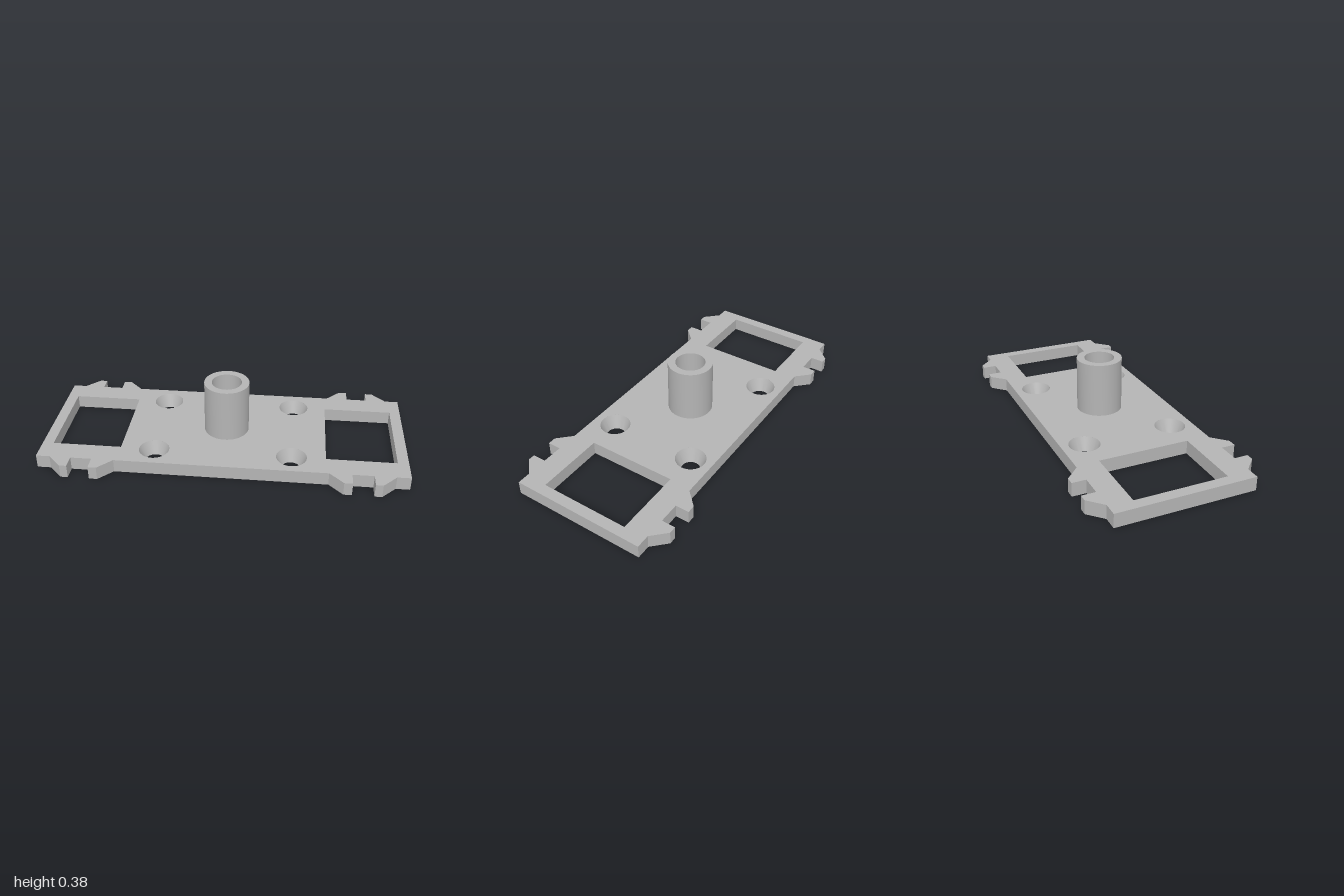
import * as THREE from 'three';
import { toCreasedNormals } from 'three/addons/utils/BufferGeometryUtils.js';

const T = 0.075; // plate thickness
const SEG = 48; // segments per full circle
const BORE = 0.083; // radius of the centre bore and the countersink rims
const CREASE = 0.5;

export function createModel() {
  const model = new THREE.Group();
  const grey = new THREE.MeshStandardMaterial({ color: 0xb4b4b4 });
  grey.name = 'plain grey';

  const add = (name, geometry) => {
    const mesh = new THREE.Mesh(toCreasedNormals(geometry, CREASE), grey);
    mesh.name = name;
    model.add(mesh);
    return mesh;
  };
  const lathe = (profile) =>
    new THREE.LatheGeometry(profile.map(([r, y]) => new THREE.Vector2(r, y)), SEG);

  // One quarter of the outline: two chamfered clip tabs on the long edge
  const quarter = [
    [1, 0.375], [0.925, 0.375], [0.85, 0.45], [0.81, 0.45], [0.81, 0.375],
    [0.695, 0.375], [0.695, 0.45], [0.65, 0.45], [0.575, 0.375],
  ];
  const mirror = (pts, sx, sy) => pts.map(([x, y]) => [x * sx, y * sy]);
  const outline = [
    ...quarter,
    ...mirror(quarter, -1, 1).reverse(),
    ...mirror(quarter, -1, -1),
    ...mirror(quarter, 1, -1).reverse(),
  ];
  const toPath = (pts, Type) => new Type(pts.map(([x, y]) => new THREE.Vector2(x, y)));
  const plate = toPath(outline, THREE.Shape);

  // Rectangular windows at both ends
  for (const s of [-1, 1]) {
    plate.holes.push(toPath(
      [[0.56 * s, -0.25], [0.94 * s, -0.25], [0.94 * s, 0.25], [0.56 * s, 0.25]], THREE.Path));
  }

  // Centre bore and four screw holes
  const screws = [[-0.375, -0.25], [0.375, -0.25], [-0.375, 0.25], [0.375, 0.25]];
  for (const [x, y] of [[0, 0], ...screws]) {
    plate.holes.push(new THREE.Path().absarc(x, y, BORE, 0, Math.PI * 2, true));
  }
  add('basePlate', new THREE.ExtrudeGeometry(plate, {
    depth: T, bevelEnabled: false, curveSegments: SEG,
  }).rotateX(-Math.PI / 2));

  // Conical seats narrowing the screw holes towards the underside
  for (const [x, z] of screws) {
    add('countersink', lathe([[BORE, T], [0.052, 0], [BORE, 0]])).position.set(x, 0, z);
  }

  // Hollow post standing over the centre bore
  add('centrePost', lathe([[0.125, T], [0.125, 0.375], [BORE, 0.375], [BORE, T]]));

  return model;
}
